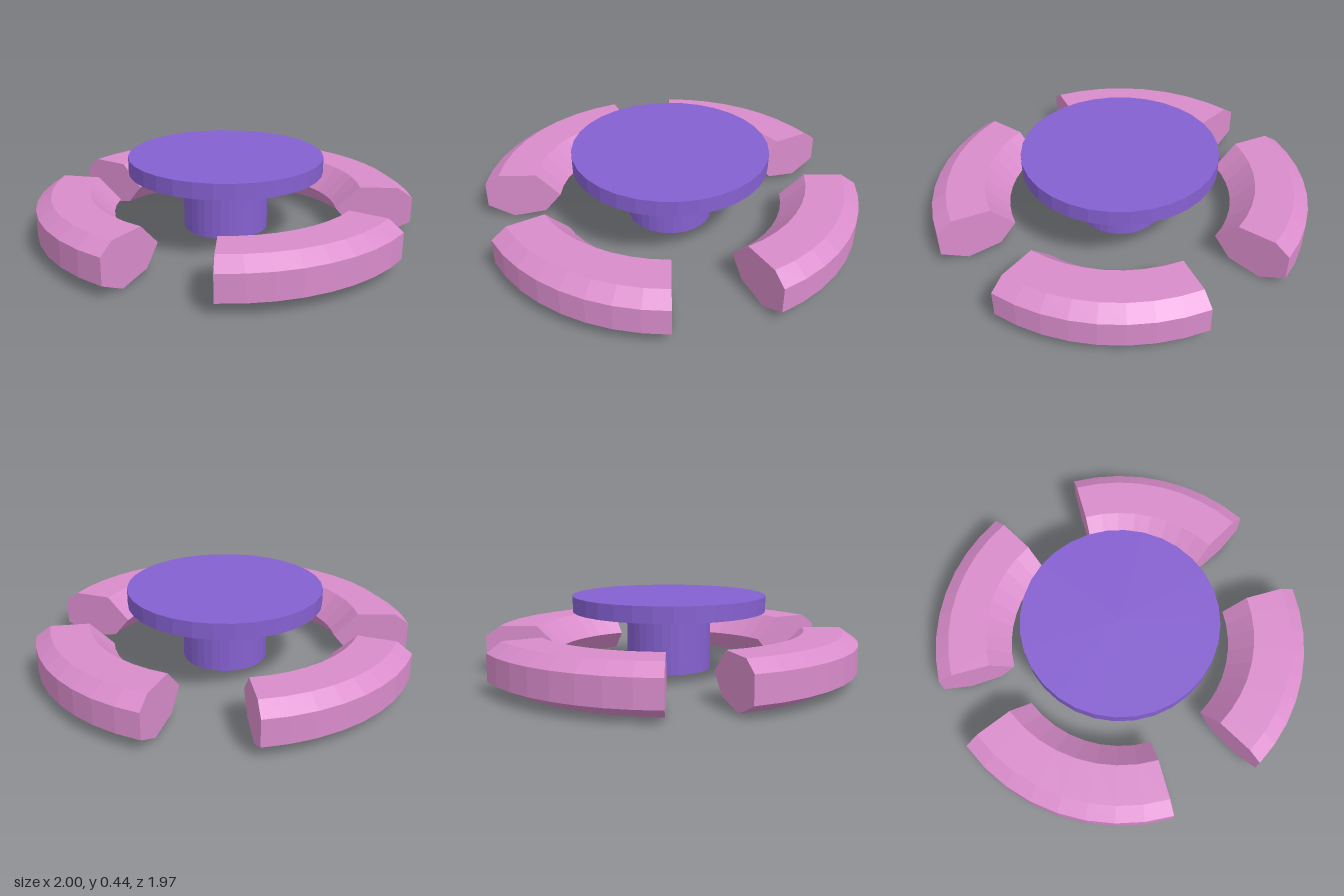
import * as THREE from 'three';

const CX = 0.01; // common axis of table and benches

// Closed arc bench: a heptagonal section swept around the axis (degrees from +z towards +x)
function benchGeometry(fromDeg, toDeg, steps) {
  // section as [radius, height], counter-clockwise
  const section = [
    [1.02, 0.07], [1.02, 0.21], [0.94, 0.265], [0.735, 0.265],
    [0.61, 0.14], [0.7, 0.035], [0.88, 0],
  ];
  const n = section.length;
  const pos = [], index = [];
  const put = (r, y, t) => pos.push(CX + r * Math.sin(t), y, r * Math.cos(t));
  const angle = (i) => THREE.MathUtils.degToRad(fromDeg + ((toDeg - fromDeg) * i) / steps);

  for (let i = 0; i <= steps; i++) {
    for (const [r, y] of section) put(r, y, angle(i));
  }
  // sides
  for (let i = 0; i < steps; i++) {
    for (let j = 0; j < n; j++) {
      const k = (j + 1) % n;
      const a = i * n + j, b = i * n + k, c = a + n, d = b + n;
      index.push(a, c, b, b, c, d);
    }
  }
  // end caps as fans
  const start = pos.length / 3;
  put(0.82, 0.14, angle(0));
  put(0.82, 0.14, angle(steps));
  for (let j = 0; j < n; j++) {
    const k = (j + 1) % n;
    index.push(start, j, k, start + 1, steps * n + k, steps * n + j);
  }
  const g = new THREE.BufferGeometry();
  g.setAttribute('position', new THREE.Float32BufferAttribute(pos, 3));
  g.setIndex(index);
  const flat = g.toNonIndexed();
  flat.computeVertexNormals();
  return flat;
}

export function createModel() {
  const model = new THREE.Group();
  model.name = 'roundTableWithBenches';
  const purple = new THREE.MeshStandardMaterial({ color: 0x8560d0, flatShading: true });
  const pink = new THREE.MeshStandardMaterial({ color: 0xd98ccb, flatShading: true });

  // Table: a disc on a single column
  const cylinder = (name, radius, bottom, top) => {
    const mesh = new THREE.Mesh(new THREE.CylinderGeometry(radius, radius, top - bottom, 32), purple);
    mesh.position.set(CX, (top + bottom) / 2, 0);
    mesh.name = name;
    model.add(mesh);
  };
  cylinder('tableTop', 0.527, 0.36, 0.445);
  cylinder('tableColumn', 0.23, 0.04, 0.362);

  // Four curved benches; the front right one is a little longer
  const benches = [
    ['frontLeftBench', 15, 75],
    ['backLeftBench', 105, 165],
    ['backRightBench', 195, 255],
    ['frontRightBench', 277, 345],
  ];
  for (const [name, from, to] of benches) {
    const mesh = new THREE.Mesh(benchGeometry(from, to, 8), pink);
    mesh.name = name;
    model.add(mesh);
  }
  return model;
}
